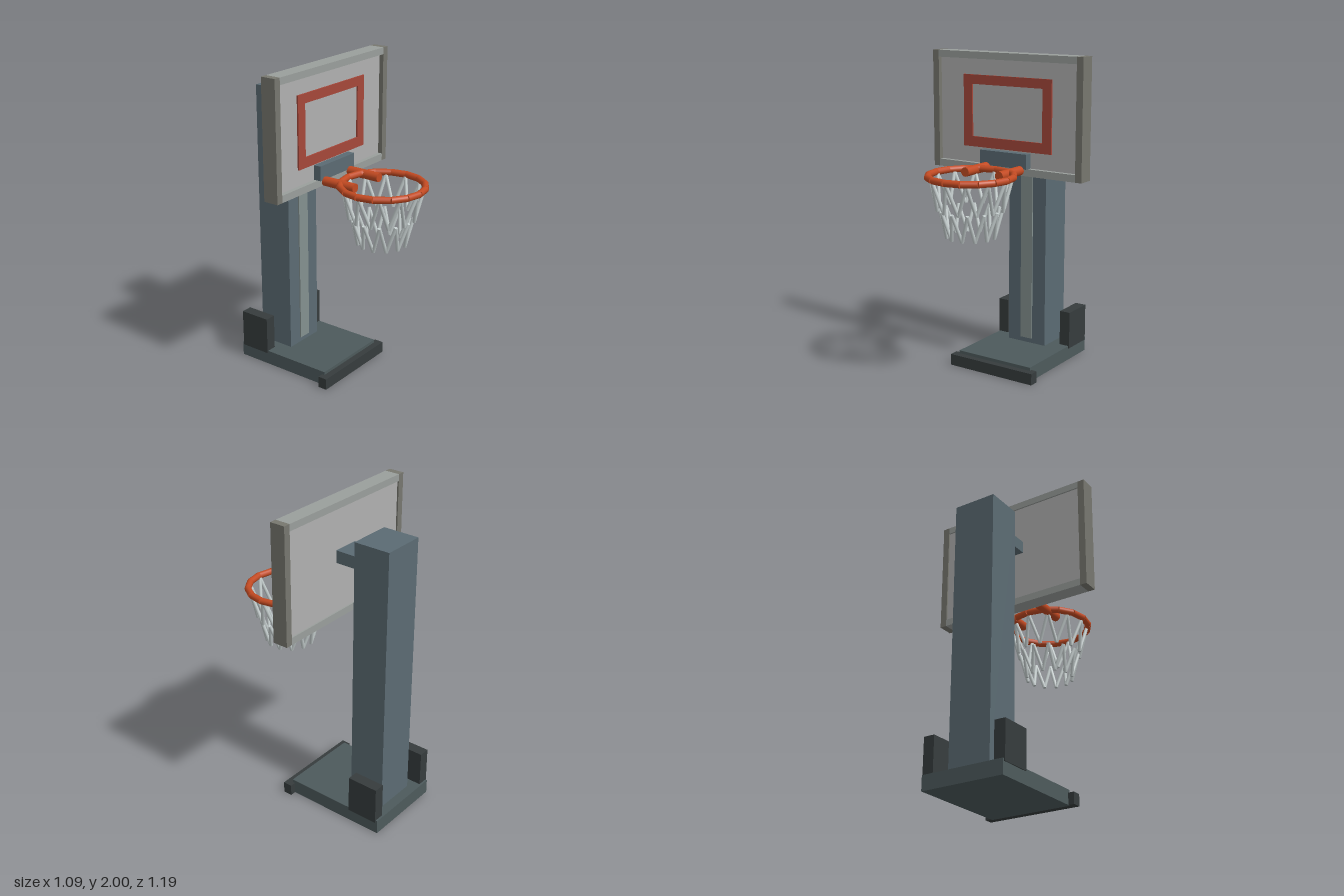
import * as THREE from 'three';

const mat = (color) => new THREE.MeshStandardMaterial({ color });
const steel = mat(0x5b6b73), baseGrey = mat(0x4d5a5c), dark = mat(0x363c3d), strip = mat(0x84908f);
const frameGrey = mat(0x9a9f9c), sideGrey = mat(0x77776f), glass = mat(0xb0b0b0);
const red = mat(0xa5473a), orange = mat(0xc24a22), cord = mat(0xc3cccc);

export function createModel() {
  const model = new THREE.Group();
  model.name = 'basketballHoop';

  // Box given by its minimum and maximum on each axis
  const box = (name, material, x0, x1, y0, y1, z0, z1, parent = model) => {
    const mesh = new THREE.Mesh(new THREE.BoxGeometry(x1 - x0, y1 - y0, z1 - z0), material);
    mesh.position.set((x0 + x1) / 2, (y0 + y1) / 2, (z0 + z1) / 2);
    mesh.name = name;
    parent.add(mesh);
  };

  // Round bar between two points
  const bar = (name, material, a, b, radius, sides, parent = model) => {
    const mesh = new THREE.Mesh(new THREE.CylinderGeometry(radius, radius, a.distanceTo(b), sides), material);
    mesh.position.copy(a).lerp(b, 0.5);
    mesh.quaternion.setFromUnitVectors(new THREE.Vector3(0, 1, 0), b.clone().sub(a).normalize());
    mesh.name = name;
    parent.add(mesh);
  };

  // Base, front bumper and rear weights
  box('base', baseGrey, -0.27, 0.27, 0, 0.093, -0.597, 0.083);
  box('frontBumper', dark, -0.308, 0.308, 0, 0.073, 0.065, 0.125);
  for (const s of [-1, 1]) {
    const c = s * 0.24;
    box(s > 0 ? 'leftWeight' : 'rightWeight', dark, c - 0.036, c + 0.036, 0.078, 0.322, -0.585, -0.38);
  }

  // Post with front strip, and arm to the board
  box('post', steel, -0.139, 0.139, 0.09, 1.818, -0.533, -0.295);
  box('postStrip', strip, -0.043, 0.043, 0.125, 1.78, -0.3, -0.287);
  box('boardArm', steel, -0.087, 0.087, 1.625, 1.703, -0.3, -0.12);

  // Backboard: recessed panel inside a frame
  const board = new THREE.Group();
  board.name = 'backboard';
  model.add(board);
  box('panel', glass, -0.52, 0.52, 1.285, 1.98, -0.125, -0.065, board);
  box('topRail', frameGrey, -0.5, 0.5, 1.957, 2, -0.135, -0.036, board);
  box('bottomRail', frameGrey, -0.5, 0.5, 1.265, 1.31, -0.135, -0.036, board);
  box('leftRail', sideGrey, 0.5, 0.544, 1.265, 2, -0.135, -0.036, board);
  box('rightRail', sideGrey, -0.544, -0.5, 1.265, 2, -0.135, -0.036, board);

  // Target rectangle with an open middle
  const corners = (x, y0, y1) => [[-x, y0], [x, y0], [x, y1], [-x, y1]].map(([u, v]) => new THREE.Vector2(u, v));
  const outline = new THREE.Shape(corners(0.321, 1.41, 1.858));
  outline.holes.push(new THREE.Path(corners(0.257, 1.474, 1.8)));
  const target = new THREE.Mesh(new THREE.ExtrudeGeometry(outline, { depth: 0.012, bevelEnabled: false }), red);
  target.position.z = -0.067;
  target.name = 'targetRectangle';
  board.add(target);

  // Rim bracket and support arms
  box('rimBracket', steel, -0.17, 0.17, 1.31, 1.402, -0.07, -0.016);
  for (const s of [-1, 1]) {
    bar(s > 0 ? 'leftRimArm' : 'rightRimArm', orange,
      new THREE.Vector3(s * 0.124, 1.3, -0.018), new THREE.Vector3(s * 0.124, 1.3, 0.207), 0.029, 16);
  }

  // Rim of straight round segments
  const ringPoint = (radius, angle, y) =>
    new THREE.Vector3(radius * Math.cos(angle), y, 0.317 + radius * Math.sin(angle));
  const rim = new THREE.Group();
  rim.name = 'rim';
  model.add(rim);
  const step = Math.PI / 8;
  for (let i = 0; i < 16; i++) {
    bar('rimSegment', orange, ringPoint(0.256, i * step, 1.306), ringPoint(0.256, (i + 1) * step, 1.306), 0.021, 12, rim);
  }

  // Net: two tiers of zigzag cords
  const net = new THREE.Group();
  net.name = 'net';
  model.add(net);
  const half = Math.PI / 12;
  const tiers = [[0.245, 1.295, 0.2, 1.105], [0.187, 1.105, 0.146, 0.938]];
  for (const [topRadius, topY, lowRadius, lowY] of tiers) {
    for (let i = 0; i < 12; i++) {
      const top = ringPoint(topRadius, i * 2 * half, topY);
      for (const s of [-1, 1]) {
        bar('netCord', cord, top, ringPoint(lowRadius, (i * 2 + s) * half, lowY), 0.011, 8, net);
      }
    }
  }
  return model;
}
